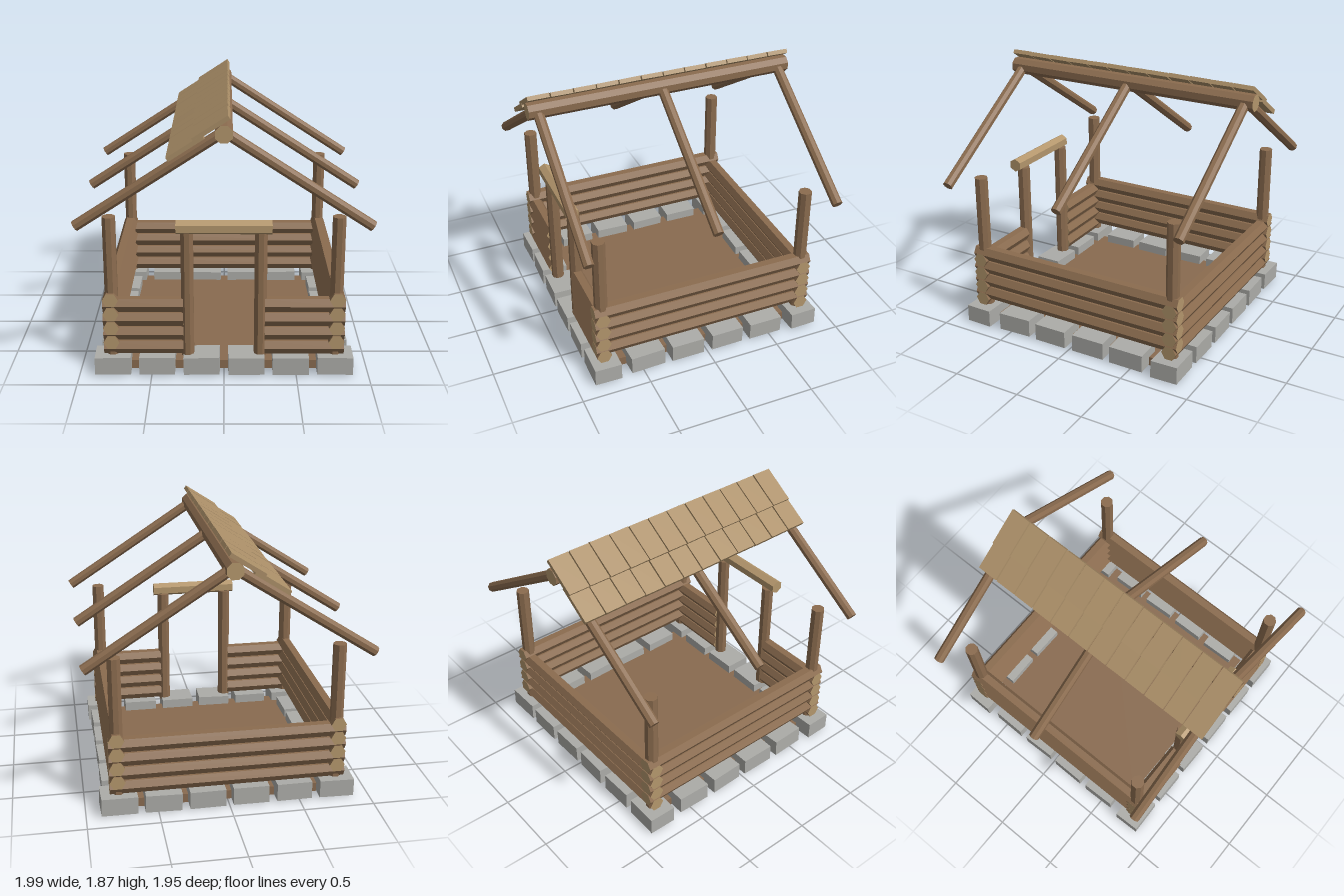
import * as THREE from 'three';

export function createModel() {
  const model = new THREE.Group();
  model.name = 'logCabinFrame';

  const mat = (name, hex) => {
    const m = new THREE.MeshStandardMaterial({ color: hex });
    m.name = name;
    return m;
  };
  const bark = mat('barkBrown', 0x8b6c4f);
  const cut = mat('cutWoodTan', 0xb3966c);
  const shingleWood = mat('shingleTan', 0xab8f68);
  const stoneGrey = mat('stoneGrey', 0xacaca8);
  const earth = mat('floorBrown', 0x896b50);

  // Small seeded jitter in the range -1..1
  let seed = 7;
  const jitter = () => {
    seed = (seed * 16807) % 2147483647;
    return (seed / 2147483647) * 2 - 1;
  };

  const group = (name) => {
    const g = new THREE.Group();
    g.name = name;
    model.add(g);
    return g;
  };

  // Faceted log between two points, with its own side and end colours
  const up = new THREE.Vector3(0, 1, 0);
  const log = (parent, name, from, to, r, sides, spin, side, end) => {
    const a = new THREE.Vector3(...from);
    const b = new THREE.Vector3(...to);
    const dir = b.clone().sub(a);
    const geo = new THREE.CylinderGeometry(r, r, dir.length(), sides).rotateY(spin).toNonIndexed();
    geo.computeVertexNormals();
    const mesh = new THREE.Mesh(geo, [side, end, end]);
    mesh.name = name;
    mesh.quaternion.setFromUnitVectors(up, dir.normalize());
    mesh.position.copy(a).add(b).multiplyScalar(0.5);
    parent.add(mesh);
  };

  const box = (parent, name, size, pos, material) => {
    const mesh = new THREE.Mesh(new THREE.BoxGeometry(...size), material);
    mesh.name = name;
    mesh.position.set(...pos);
    parent.add(mesh);
    return mesh;
  };

  // Floor slab
  box(model, 'floor', [1.52, 0.065, 1.52], [0, 0.0325, 0], earth);

  // Ring of slightly uneven foundation stones
  const foundation = group('foundation');
  const stone = (w, d, x, z) => {
    const s = box(foundation, 'foundationStone',
      [w + jitter() * 0.006, 0.127, d + jitter() * 0.006], [x, 0.071, z], stoneGrey);
    s.rotation.set(jitter() * 0.02, jitter() * 0.03, jitter() * 0.025);
  };
  for (const s of [-1, 1]) {
    for (let i = 0; i < 6; i++) stone(0.25, 0.195, (i - 2.5) * 0.308, s * 0.77);
    for (let i = 0; i < 4; i++) stone(0.195, 0.25, s * 0.775, (i - 1.5) * 0.31);
  }

  // Walls: four courses, side logs sit half a course above front and back logs
  const walls = group('walls');
  const W = 0.775, END = 0.83, R = 0.055;
  for (let i = 0; i < 4; i++) {
    const yx = 0.186 + i * 0.105;
    const yz = 0.233 + i * 0.105;
    log(walls, 'backWallLog', [-END, yx, -W], [END, yx, -W], R, 6, 0, bark, cut);
    for (const s of [-1, 1]) {
      log(walls, 'frontWallLog', [s * 0.28, yx, W], [s * END, yx, W], R, 6, 0, bark, cut);
      log(walls, 'sideWallLog', [s * W, yz, -END], [s * W, yz, END], R, 6, Math.PI / 6, bark, cut);
    }
  }

  // Corner posts, door posts and lintel
  const posts = group('posts');
  for (const x of [-0.77, 0.77]) {
    for (const z of [-0.77, 0.77]) {
      log(posts, 'cornerPost', [x, 0.13, z], [x, 1.135, z], 0.047, 8, Math.PI / 8, bark, bark);
    }
  }
  for (const x of [-0.25, 0.25]) {
    log(posts, 'doorPost', [x, 0.12, 0.772], [x, 1.04, 0.772], 0.046, 8, Math.PI / 8, bark, bark);
  }
  log(posts, 'doorLintel', [-0.322, 1.068, 0.797], [0.322, 1.068, 0.797], 0.05, 6, Math.PI / 6, cut, cut);

  // Ridge beam and three pairs of rafters
  const roof = group('roofFrame');
  log(roof, 'ridgeBeam', [0, 1.747, -0.977], [0, 1.747, 0.977], 0.061, 8, Math.PI / 8, bark, cut);
  for (const z of [-0.905, 0, 0.905]) {
    for (const s of [-1, 1]) {
      log(roof, 'rafter', [s * 0.977, 1.115, z], [0, 1.75, z], 0.037, 8, Math.PI / 8, bark, bark);
    }
  }

  // Two overlapping rows of roof boards on the right slope
  const boards = group('roofBoards');
  const pitch = Math.atan2(0.635, 0.977);
  for (let i = 0; i < 12; i++) {
    const z = (i - 5.5) * 0.163;
    for (const [x, y] of [[-0.247, 1.656], [-0.083, 1.783]]) {
      const b = box(boards, 'roofBoard', [0.275, 0.03, 0.154],
        [x, y + jitter() * 0.002, z], shingleWood);
      b.rotation.set(jitter() * 0.012, jitter() * 0.008, pitch);
    }
  }

  return model;
}
